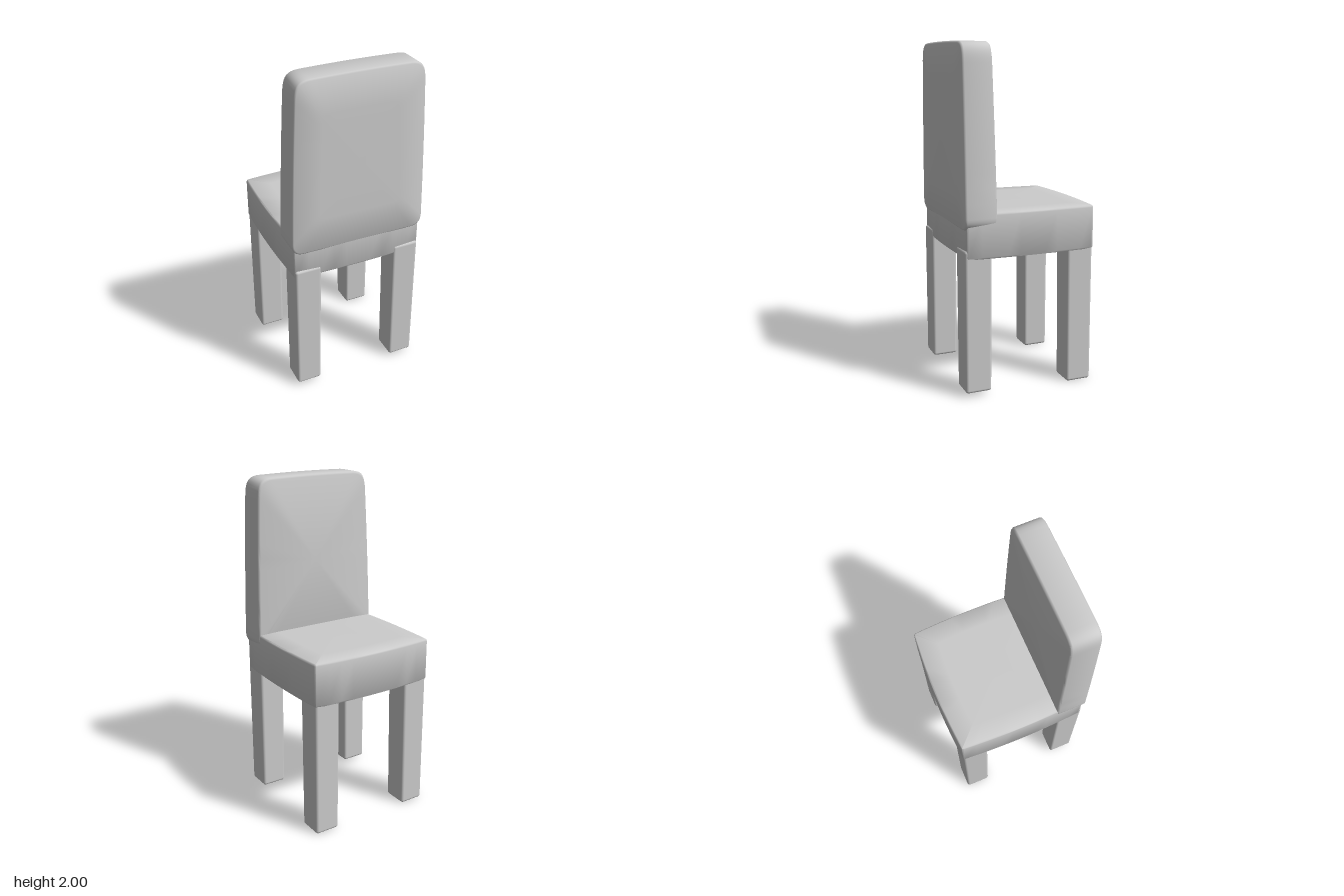
import * as THREE from 'three';
import { toCreasedNormals } from 'three/addons/utils/BufferGeometryUtils.js';
import { RoundedBoxGeometry } from 'three/addons/geometries/RoundedBoxGeometry.js';

// Cushion-like solid: an outline (counter-clockwise) stacked along z as rings of [scale, z].
function cushion(outline, centreY, rings) {
  const n = outline.length, pos = [], index = [];
  for (const [s, z] of rings) {
    for (const p of outline) pos.push(p.x * s, centreY + (p.y - centreY) * s, z);
  }
  for (let r = 0; r < rings.length - 1; r++) {
    for (let i = 0; i < n; i++) {
      const a = r * n + i, b = r * n + (i + 1) % n;
      index.push(a, b, b + n, a, b + n, a + n);
    }
  }
  const g = new THREE.BufferGeometry();
  g.setAttribute('position', new THREE.Float32BufferAttribute(pos, 3));
  g.setIndex(index);
  return g;
}

export function createModel() {
  const group = new THREE.Group();
  const material = new THREE.MeshStandardMaterial({ color: 0xcccccc });
  const add = (name, geometry) => {
    const mesh = new THREE.Mesh(geometry, material);
    mesh.name = name;
    group.add(mesh);
    return mesh;
  };

  // Seat: square plan with gently bowed sides
  const plan = new THREE.Shape();
  plan.moveTo(-0.385, -0.39);
  plan.quadraticCurveTo(0, -0.412, 0.385, -0.39);
  plan.quadraticCurveTo(0.396, -0.39, 0.396, -0.378);
  plan.quadraticCurveTo(0.424, 0, 0.396, 0.378);
  plan.quadraticCurveTo(0.396, 0.39, 0.385, 0.39);
  plan.quadraticCurveTo(0, 0.43, -0.385, 0.39);
  plan.quadraticCurveTo(-0.396, 0.39, -0.396, 0.378);
  plan.quadraticCurveTo(-0.424, 0, -0.396, -0.378);
  plan.quadraticCurveTo(-0.396, -0.39, -0.385, -0.39);
  const planPoints = plan.getPoints(10).slice(0, -1);
  const seat = cushion(planPoints, 0, [
    [0.001, 0.81], [0.985, 0.81], [1, 0.82], [1, 1.055], [0.995, 1.063], [0.98, 1.068], [0.7, 1.071], [0.001, 1.072],
  ]);
  seat.rotateX(-Math.PI / 2);
  add('seat', toCreasedNormals(seat, 0.7));

  // Backrest: tapered panel with rounded corners
  const panel = new THREE.Shape();
  panel.moveTo(-0.34, 0.972);
  panel.lineTo(0.34, 0.972);
  panel.quadraticCurveTo(0.408, 0.972, 0.409, 1.04);
  panel.quadraticCurveTo(0.4, 1.45, 0.378, 1.88);
  panel.bezierCurveTo(0.374, 1.96, 0.36, 1.993, 0.29, 1.996);
  panel.quadraticCurveTo(0, 2.004, -0.29, 1.996);
  panel.bezierCurveTo(-0.36, 1.993, -0.374, 1.96, -0.378, 1.88);
  panel.quadraticCurveTo(-0.4, 1.45, -0.409, 1.04);
  panel.quadraticCurveTo(-0.408, 0.972, -0.34, 0.972);
  const back = cushion(panel.getPoints(10).slice(0, -1), 1.486, [
    [0.001, 0.222], [0.97, 0.222], [0.99, 0.226], [1, 0.235],
    [1, 0.39], [0.995, 0.397], [0.98, 0.402], [0.6, 0.408], [0.001, 0.409],
  ]);
  // the front face leans back slightly towards the top
  const p = back.attributes.position;
  for (let i = 0; i < p.count; i++) {
    if (p.getZ(i) < 0.3) p.setZ(i, p.getZ(i) + (p.getY(i) - 1.5) * 0.018);
  }
  add('backrest', toCreasedNormals(back, 0.7));

  // Legs: square posts, narrowing a little on the inner faces
  for (const [end, z, bottom] of [['front', -0.308, 0], ['back', 0.321, 0.025]]) {
    for (const [side, sx] of [['Left', 1], ['Right', -1]]) {
      const height = 0.86 - bottom;
      const g = new RoundedBoxGeometry(0.16, height, 0.16, 3, 0.016);
      const v = g.attributes.position;
      for (let i = 0; i < v.count; i++) {
        const down = 0.5 - v.getY(i) / height;
        if (v.getX(i) * sx < 0) v.setX(i, v.getX(i) + sx * 0.008 * down);
        if (v.getZ(i) * z < 0) v.setZ(i, v.getZ(i) + Math.sign(z) * 0.006 * down);
      }
      const leg = add(end + side + 'Leg', g);
      leg.position.set(sx * 0.313, bottom + height / 2, z);
    }
  }
  return group;
}
